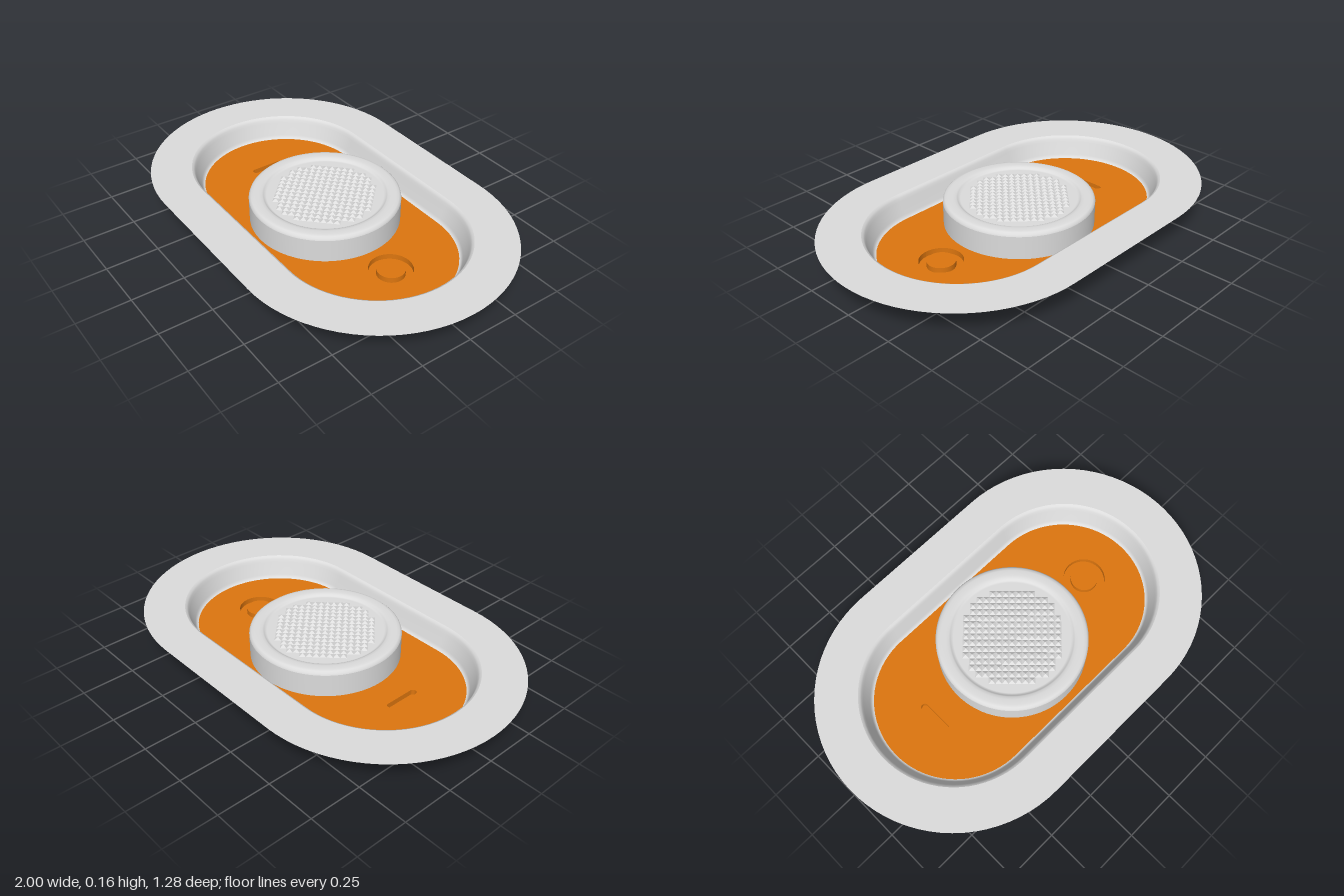
import * as THREE from 'three';
import { mergeGeometries } from 'three/addons/utils/BufferGeometryUtils.js';

const END = 0.36;      // distance from the middle to each rounded end's centre
const FLOOR = 0.026;   // height of the tray floor
const RIM = 0.134;     // height of the flat flange

// Points of a stadium outline with end radius r and half straight length c
function stadium(r, c, n = 40) {
  const pts = [];
  for (const side of [1, -1]) {
    for (let i = 0; i <= n; i++) {
      const a = -Math.PI / 2 + (Math.PI * i) / n;
      pts.push(new THREE.Vector2(side * (c + r * Math.cos(a)), side * r * Math.sin(a)));
    }
  }
  return pts;
}

// Horizontal flat sheet from an outline and holes
function sheet(outline, holes, y) {
  const shape = new THREE.Shape(outline);
  for (const h of holes) shape.holes.push(new THREE.Path(h));
  return new THREE.ShapeGeometry(shape).rotateX(-Math.PI / 2).translate(0, y, 0);
}

// Smooth wall through closed outlines, each given as { pts, y }
function loft(rings) {
  const pos = [], idx = [], n = rings[0].pts.length;
  rings.forEach(({ pts, y }) => pts.forEach((p) => pos.push(p.x, y, -p.y)));
  for (let k = 0; k < rings.length - 1; k++) {
    for (let i = 0; i < n; i++) {
      const j = (i + 1) % n, a = k * n + i, b = k * n + j;
      idx.push(a, b, a + n, b, b + n, a + n);
    }
  }
  const g = new THREE.BufferGeometry();
  g.setAttribute('position', new THREE.Float32BufferAttribute(pos, 3));
  g.setIndex(idx);
  g.computeVertexNormals();
  return g;
}

export function createModel() {
  const group = new THREE.Group();
  const grey = new THREE.MeshStandardMaterial({ color: 0xdcdcdc, side: THREE.DoubleSide });
  grey.name = 'light grey';
  const orange = new THREE.MeshStandardMaterial({ color: 0xdd760f, side: THREE.DoubleSide });
  orange.name = 'orange';
  const add = (name, geometry, material) => {
    const mesh = new THREE.Mesh(geometry, material);
    mesh.name = name;
    group.add(mesh);
  };

  // Flat flange around the tray
  add('flange', sheet(stadium(0.64, END), [stadium(0.443, END)], RIM), grey);

  // Sloping tray wall, rounded at the top and bottom
  const profile = [[0.386, FLOOR], [0.392, 0.028], [0.397, 0.034], [0.401, 0.043],
    [0.423, 0.105], [0.428, 0.119], [0.434, 0.129], [0.443, RIM]];
  add('trayWall', loft(profile.map(([r, y]) => ({ pts: stadium(r, END), y }))), grey);

  // Tray floor, cut out for a slot and a ring groove
  const slot = stadium(0.016, 0.07, 10).map((p) => new THREE.Vector2(-0.5 - p.y, p.x));
  const circle = (r) => stadium(r, 0, 24).map((p) => new THREE.Vector2(p.x + 0.495, p.y));
  const outer = circle(0.1), inner = circle(0.065);
  add('trayFloor', sheet(stadium(0.386, END), [slot, outer], FLOOR), orange);

  // Slot pressed into the floor
  add('slotWall', loft([{ pts: slot, y: 0 }, { pts: slot, y: FLOOR }]), orange);
  add('slotBottom', sheet(slot, [], 0), orange);

  // Ring groove with a boss in the middle
  add('grooveOuterWall', loft([{ pts: outer, y: 0 }, { pts: outer, y: FLOOR }]), orange);
  add('grooveBottom', sheet(outer, [inner], 0), orange);
  add('bossWall', loft([{ pts: inner, y: FLOOR }, { pts: inner, y: 0 }]), orange);
  add('bossTop', sheet(inner, [], FLOOR), orange);

  // Round knob: straight side, then a rounded rim and a shallow dished top
  const side = new THREE.CylinderGeometry(0.354, 0.354, 0.138 - FLOOR, 96, 1, true);
  add('knobSide', side.translate(0, (0.138 + FLOOR) / 2, 0), grey);
  const rim = [[0, 0.144], [0.272, 0.144], [0.28, 0.146], [0.285, 0.151], [0.292, 0.155],
    [0.305, 0.157], [0.33, 0.157], [0.343, 0.154], [0.351, 0.147], [0.354, 0.138]]
    .map(([r, y]) => new THREE.Vector2(r, y)).reverse();
  add('knobTop', new THREE.LatheGeometry(rim, 96), grey);

  // Diamond knurling on the knob
  const half = 0.0215, studs = [];
  for (let i = -12; i <= 12; i++) {
    for (let j = -12; j <= 12; j++) {
      if ((i + j) % 2 !== 0 || Math.hypot(i, j) * half > 0.238) continue;
      const stud = new THREE.ConeGeometry(half, 0.011, 4, 1, true).toNonIndexed();
      stud.computeVertexNormals();
      studs.push(stud.translate(i * half, 0.144 + 0.0055, j * half));
    }
  }
  add('knurling', mergeGeometries(studs), grey);

  return group;
}
